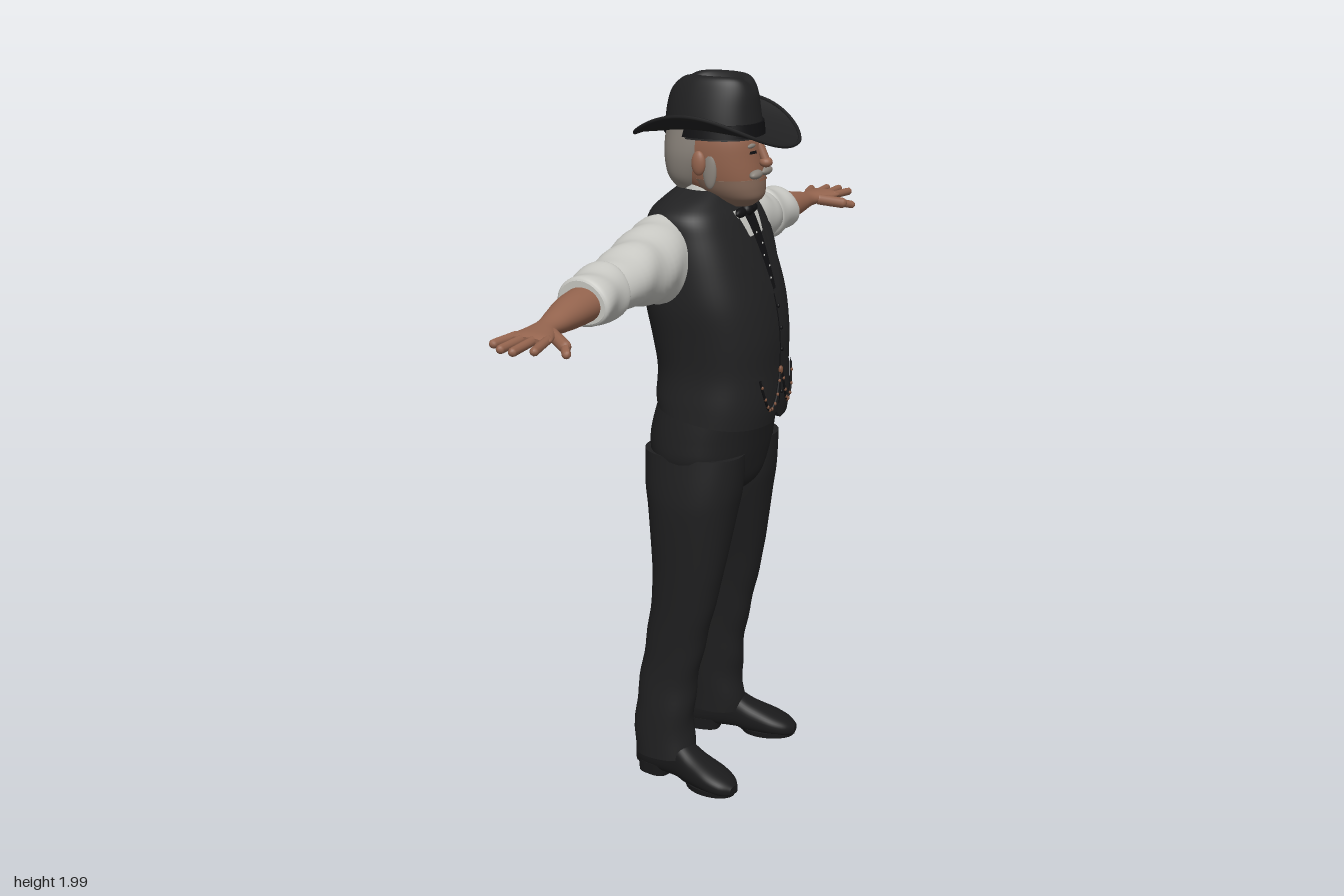
import * as THREE from 'three';

const colour = (name, color, side = THREE.FrontSide) => {
  const m = new THREE.MeshStandardMaterial({ color, side });
  m.name = name;
  return m;
};
const mats = {
  felt: colour('hat felt', 0x202021, THREE.DoubleSide),
  vest: colour('vest cloth', 0x212122),
  trouser: colour('trouser cloth', 0x1f1f20),
  leather: colour('boot leather', 0x1a1a1b),
  linen: colour('shirt linen', 0xc6c6c1),
  skin: colour('skin', 0x94644e),
  hair: colour('grey hair', 0x8a837b),
  stubble: colour('stubble', 0x846858),
  copper: colour('watch chain', 0x7a4e38),
  dark: colour('black silk', 0x101012),
};

// Smooths key rings [w, u0, u1, v0, v1] into a dense list
function dense(keys, steps = 5) {
  const out = [], at = i => keys[THREE.MathUtils.clamp(i, 0, keys.length - 1)];
  for (let i = 0; i < keys.length - 1; i++) for (let s = 0; s < steps; s++) {
    const t = s / steps;
    out.push(keys[i].map((b, k) => {
      const a = at(i - 1)[k], c = at(i + 1)[k], d = at(i + 2)[k];
      return b + 0.5 * t * (c - a + t * (2 * a - 5 * b + 4 * c - d + t * (3 * (b - c) + d - a)));
    }));
  }
  out.push(keys[keys.length - 1]);
  return out;
}

// Skins superellipse rings along an axis: y has spans (z, x), x has (y, z), z has (x, y)
function loft(axis, keys, { p = 2, seg = 40, bend } = {}) {
  const rings = dense(keys), first = rings[0], last = rings[rings.length - 1];
  const collapse = r => [r[0], (r[1] + r[2]) / 2, (r[1] + r[2]) / 2, (r[3] + r[4]) / 2, (r[3] + r[4]) / 2];
  const all = [collapse(first), first, ...rings, last, collapse(last)];
  const pos = [], idx = [], v = new THREE.Vector3();
  const pw = c => Math.sign(c) * Math.abs(c) ** (2 / p);
  all.forEach(([w, u0, u1, v0, v1], i) => {
    for (let j = 0; j < seg; j++) {
      const t = j / seg * Math.PI * 2;
      const a = (u0 + u1) / 2 + (u1 - u0) / 2 * pw(Math.cos(t));
      const b = (v0 + v1) / 2 + (v1 - v0) / 2 * pw(Math.sin(t));
      if (axis === 'y') v.set(b, w, a); else if (axis === 'x') v.set(w, a, b); else v.set(a, b, w);
      if (bend) bend(v);
      pos.push(v.x, v.y, v.z);
      if (i < all.length - 1) {
        const q = i * seg + j, n = i * seg + (j + 1) % seg;
        idx.push(q, n, q + seg, n, n + seg, q + seg);
      }
    }
  });
  return build(pos, idx);
}

function build(pos, idx) {
  const g = new THREE.BufferGeometry();
  g.setAttribute('position', new THREE.Float32BufferAttribute(pos, 3));
  g.setIndex(idx);
  g.computeVertexNormals();
  return g;
}

// Front surface depth of a y loft at (x, y)
function frontOf(keys, p) {
  const rings = dense(keys);
  return (x, y) => {
    let i = 0;
    while (i < rings.length - 2 && rings[i + 1][0] < y) i++;
    const a = rings[i], b = rings[i + 1], t = THREE.MathUtils.clamp((y - a[0]) / (b[0] - a[0]), 0, 1);
    const [, z0, z1, , hx] = a.map((n, k) => n + (b[k] - n) * t);
    return (z0 + z1) / 2 + (z1 - z0) / 2 * Math.max(0, 1 - Math.abs(x / hx) ** p) ** (1 / p);
  };
}

// Thin four-cornered panel laid on a front surface, corners counter-clockwise
function patch(front, [a, b, c, d], lift = 0.004, n = 8) {
  const pos = [], idx = [], mix = (s, e, t) => s + (e - s) * t;
  for (let i = 0; i <= n; i++) for (let j = 0; j <= n; j++) {
    const [x, y] = [0, 1].map(k => mix(mix(a[k], b[k], j / n), mix(d[k], c[k], j / n), i / n));
    pos.push(x, y, front(x, y) + lift);
    if (i < n && j < n) {
      const q = i * (n + 1) + j;
      idx.push(q, q + 1, q + n + 1, q + 1, q + n + 2, q + n + 1);
    }
  }
  return build(pos, idx);
}

function mirror(geo) {
  const g = geo.clone().scale(-1, 1, 1), a = g.index.array;
  for (let i = 0; i < a.length; i += 3) [a[i], a[i + 1]] = [a[i + 1], a[i]];
  g.computeVertexNormals();
  return g;
}

const ball = (x, y, z, rx, ry, rz) => new THREE.SphereGeometry(1, 20, 14).scale(rx, ry, rz).translate(x, y, z);

function limb(from, to, r) {
  const a = new THREE.Vector3(...from), b = new THREE.Vector3(...to), d = b.clone().sub(a);
  const q = new THREE.Quaternion().setFromUnitVectors(new THREE.Vector3(0, 1, 0), d.clone().normalize());
  return new THREE.CapsuleGeometry(r, d.length(), 5, 10).applyQuaternion(q).translate(...a.add(b).multiplyScalar(0.5).toArray());
}

export function createModel() {
  const root = new THREE.Group(), man = new THREE.Group();
  root.name = 'cowboy';
  man.name = 'figure';
  man.rotation.y = Math.PI / 2;
  root.add(man);
  const add = (name, geo, mat) => {
    const m = new THREE.Mesh(geo, mats[mat]);
    m.name = name;
    man.add(m);
  };
  const pair = (name, geo, mat) => { add(name + 'A', geo, mat); add(name + 'B', mirror(geo), mat); };
  const sym = rows => rows.map(([y, z0, z1, hx]) => [y, z0, z1, -hx, hx]);

  // Vest, with the hem dropping to two points in front
  const torso = sym([[1.085, -0.143, 0.18, 0.205], [1.13, -0.148, 0.188, 0.201], [1.21, -0.145, 0.187, 0.193],
    [1.3, -0.16, 0.187, 0.2], [1.4, -0.178, 0.172, 0.211], [1.5, -0.182, 0.142, 0.208], [1.58, -0.176, 0.112, 0.2],
    [1.635, -0.16, 0.085, 0.189], [1.668, -0.13, 0.06, 0.15], [1.695, -0.1, 0.045, 0.09]]);
  const chest = frontOf(torso, 2.4);
  add('vest', loft('y', torso, { p: 2.4, seg: 64, bend: v => {
    const k = THREE.MathUtils.clamp((1.15 - v.y) / 0.065, 0, 1);
    v.y -= k * (v.z - 0.02) * 0.16;
    if (v.z > 0.1 && Math.abs(v.x) < 0.02) v.y += k * 0.025;
  } }), 'vest');
  pair('lapel', patch(chest, [[0.008, 1.42], [0.025, 1.42], [0.125, 1.57], [0.06, 1.63]], 0.009), 'vest');
  pair('upperLapel', patch(chest, [[0.06, 1.59], [0.12, 1.585], [0.1, 1.655], [0.07, 1.655]], 0.007), 'vest');
  pair('vestPocket', patch(chest, [[0.085, 1.195], [0.15, 1.205], [0.15, 1.22], [0.085, 1.21]], 0.006), 'vest');
  add('placket', patch(chest, [[-0.003, 1.11], [0.003, 1.11], [0.003, 1.43], [-0.003, 1.43]], 0.003), 'dark');
  for (let i = 0; i < 5; i++) {
    const y = 1.14 + i * 0.06;
    add('vestButton', ball(0.012, y, chest(0.012, y) + 0.003, 0.006, 0.006, 0.004), 'dark');
  }
  // Shirt front, tie and collar
  pair('shirtFront', patch(chest, [[0.012, 1.575], [0.04, 1.575], [0.068, 1.645], [0.012, 1.645]], 0.005), 'linen');
  add('tie', patch(chest, [[-0.008, 1.43], [0.008, 1.43], [0.028, 1.63], [-0.028, 1.63]], 0.008), 'dark');
  add('tieKnot', ball(0, 1.637, 0.09, 0.02, 0.018, 0.016), 'dark');
  pair('tieBow', ball(0.035, 1.635, 0.087, 0.028, 0.014, 0.012), 'dark');
  for (let i = 0; i < 5; i++) {
    const y = 1.46 + i * 0.03, x = i % 2 ? 0.006 : -0.006;
    add('tieSpot', ball(x, y, chest(x, y) + 0.009, 0.003, 0.003, 0.002), 'linen');
  }
  add('collar', loft('y', sym([[1.65, -0.105, 0.075, 0.088], [1.68, -0.1, 0.072, 0.084], [1.702, -0.093, 0.066, 0.078]]),
    { bend: v => { v.y -= v.z * 0.17; } }), 'linen');
  // Watch chain hanging in two swags
  const swag = [];
  for (let i = 0; i <= 16; i++) {
    const x = 0.008 + i / 16 * 0.094, y = 1.105 + 0.095 * ((x - 0.055) / 0.047) ** 2;
    swag.push(new THREE.Vector3(x, y, chest(x, y) + 0.006));
  }
  pair('watchChain', new THREE.TubeGeometry(new THREE.CatmullRomCurve3(swag), 40, 0.0035, 6), 'dark');
  swag.forEach((v, i) => { if (i % 2) pair('chainLink', ball(v.x, v.y, v.z + 0.002, 0.004, 0.005, 0.004), 'copper'); });
  add('chainFob', ball(0, 1.205, chest(0, 1.205) + 0.006, 0.008, 0.012, 0.006), 'copper');

  // Trousers
  add('hips', loft('y', sym([[0.84, -0.09, 0.07, 0.05], [0.88, -0.14, 0.115, 0.13], [0.95, -0.158, 0.132, 0.205],
    [1.03, -0.163, 0.145, 0.207], [1.14, -0.135, 0.165, 0.188]]), { p: 2.3 }), 'trouser');
  pair('trouserLeg', loft('y', [[0.075, -0.17, 0.005, 0.1, 0.236], [0.2, -0.17, 0, 0.097, 0.227],
    [0.32, -0.157, 0.012, 0.093, 0.213], [0.45, -0.137, 0.04, 0.086, 0.211], [0.6, -0.122, 0.074, 0.066, 0.216],
    [0.8, -0.138, 0.108, 0.013, 0.225], [0.88, -0.15, 0.122, 0.002, 0.222], [0.98, -0.155, 0.13, 0.01, 0.208]],
  { p: 2.3, bend: v => { v.z += 0.004 * Math.sin(v.y * 45 + v.x * 20) * Math.max(0, 1 - v.y * 1.4); } }), 'trouser');

  // Boots, toes turned outward
  const place = g => g.rotateY(0.2).translate(0.182, 0, 0);
  pair('boot', place(loft('z', [[-0.168, -0.032, 0.032, 0.01, 0.09], [-0.13, -0.044, 0.044, 0.005, 0.12],
    [-0.04, -0.044, 0.044, 0.005, 0.13], [0.03, -0.05, 0.05, 0, 0.094], [0.09, -0.054, 0.054, 0, 0.07],
    [0.135, -0.042, 0.042, 0, 0.05], [0.16, -0.018, 0.018, 0.004, 0.032]],
  { p: 2.4, bend: v => { v.y = Math.max(v.y, v.z < 0 ? 0.022 : 0.008); } })), 'leather');
  pair('bootHeel', place(loft('y', [[0, -0.165, -0.07, -0.04, 0.04], [0.035, -0.168, -0.06, -0.042, 0.042]], { p: 3 })), 'leather');
  pair('bootSole', place(loft('y', [[0, 0, 0.155, -0.05, 0.05], [0.016, -0.01, 0.162, -0.052, 0.052]])), 'leather');

  // Sleeves with soft folds and rolled cuffs
  const fold = v => { v.y += 0.004 * Math.sin(v.x * 60 + v.z * 25); v.z += 0.003 * Math.sin(v.x * 45 + v.y * 30); };
  pair('sleeve', loft('x', [[0.15, 1.42, 1.635, -0.165, 0.02], [0.2, 1.412, 1.642, -0.176, 0.018],
    [0.3, 1.43, 1.62, -0.166, 0.012], [0.4, 1.447, 1.598, -0.16, 0.004], [0.5, 1.45, 1.565, -0.153, -0.02]], { bend: fold }), 'linen');
  pair('cuff', loft('x', [[0.465, 1.445, 1.575, -0.155, -0.015], [0.48, 1.432, 1.583, -0.166, -0.01],
    [0.53, 1.435, 1.576, -0.165, -0.014], [0.58, 1.437, 1.568, -0.163, -0.013], [0.592, 1.447, 1.558, -0.152, -0.022]],
  { bend: fold }), 'linen');
  // Forearms and hands, palms down
  pair('forearm', loft('x', [[0.56, 1.455, 1.548, -0.14, -0.032], [0.65, 1.456, 1.54, -0.135, -0.036],
    [0.72, 1.462, 1.527, -0.12, -0.042], [0.78, 1.469, 1.514, -0.108, -0.046], [0.83, 1.474, 1.51, -0.113, -0.025],
    [0.875, 1.478, 1.507, -0.12, -0.008], [0.895, 1.483, 1.5, -0.112, -0.016]]), 'skin');
  [[-0.109, 0.94, -0.128], [-0.081, 0.972, -0.09], [-0.052, 0.979, -0.053], [-0.023, 0.953, -0.01]].forEach(([z, tip, tz]) => {
    pair('finger', limb([0.87, 1.492, z], [tip, 1.488, tz], 0.0115), 'skin');
  });
  pair('thumb', limb([0.81, 1.488, -0.045], [0.85, 1.475, 0.012], 0.016), 'skin');
  pair('thumbTip', limb([0.85, 1.475, 0.012], [0.878, 1.466, 0.032], 0.0115), 'skin');

  // Head and face
  const skull = sym([[1.655, 0.02, 0.105, 0.035], [1.675, -0.03, 0.128, 0.062], [1.72, -0.1, 0.133, 0.088],
    [1.78, -0.118, 0.13, 0.1], [1.84, -0.12, 0.125, 0.1], [1.9, -0.1, 0.1, 0.08]]);
  const face = frontOf(skull, 2.2);
  add('neck', loft('y', sym([[1.6, -0.08, 0.05, 0.068], [1.74, -0.085, 0.055, 0.07]])), 'skin');
  add('head', loft('y', skull, { p: 2.2 }), 'skin');
  add('jawStubble', loft('y', sym([[1.652, 0.02, 0.106, 0.036], [1.674, -0.025, 0.132, 0.065],
    [1.7, -0.06, 0.136, 0.083], [1.728, -0.09, 0.134, 0.093]]), { p: 2.2 }), 'stubble');
  add('hair', loft('y', sym([[1.695, -0.105, -0.02, 0.07], [1.73, -0.127, 0, 0.095], [1.79, -0.135, 0.025, 0.109],
    [1.86, -0.13, 0.035, 0.106]]), { p: 2.3 }), 'hair');
  pair('sideburn', ball(0.094, 1.755, 0.025, 0.01, 0.05, 0.02), 'hair');
  pair('ear', ball(0.11, 1.775, 0.0, 0.013, 0.033, 0.02), 'skin');
  add('noseBridge', limb([0, 1.815, 0.125], [0, 1.778, 0.142], 0.012), 'skin');
  add('noseTip', ball(0, 1.771, 0.144, 0.018, 0.014, 0.018), 'skin');
  pair('moustache', ball(0.024, 1.742, 0.13, 0.03, 0.012, 0.014).rotateZ(-0.004), 'hair');
  add('mouth', patch(face, [[-0.025, 1.722], [0.025, 1.722], [0.02, 1.728], [-0.02, 1.728]], 0.006), 'skin');
  pair('eye', patch(face, [[0.024, 1.797], [0.05, 1.797], [0.047, 1.805], [0.027, 1.805]], 0.002), 'dark');
  pair('eyebrow', ball(0.04, 1.819, face(0.04, 1.819), 0.022, 0.006, 0.006), 'hair');

  // Hat: curled brim, creased crown and band
  const curl = (x, z) => 1.846 - 0.022 * (z / 0.225) ** 2 + 0.062 * Math.abs(x / 0.185) ** 2.6;
  const brim = new THREE.RingGeometry(0.4, 1, 72, 10).rotateX(-Math.PI / 2), bp = brim.attributes.position;
  for (let i = 0; i < bp.count; i++) {
    const x = bp.getX(i) * 0.186, z = bp.getZ(i) * 0.226;
    bp.setXYZ(i, x, curl(x, z), z);
  }
  brim.computeVertexNormals();
  add('hatBrim', brim, 'felt');
  const rim = [];
  for (let i = 0; i < 48; i++) {
    const t = i / 48 * Math.PI * 2, x = 0.186 * Math.cos(t), z = 0.226 * Math.sin(t);
    rim.push(new THREE.Vector3(x, curl(x, z), z));
  }
  add('brimEdge', new THREE.TubeGeometry(new THREE.CatmullRomCurve3(rim, true), 96, 0.005, 6, true), 'felt');
  add('hatCrown', loft('y', sym([[1.835, -0.14, 0.128, 0.11], [1.9, -0.137, 0.12, 0.098], [1.955, -0.122, 0.113, 0.082],
    [1.988, -0.092, 0.098, 0.066], [1.994, -0.065, 0.075, 0.046], [1.972, -0.045, 0.055, 0.018]]),
  { p: 2.2, seg: 56, bend: v => { if (v.y > 1.94) v.y -= 0.016 * Math.exp(-((v.x / 0.025) ** 2)) * Math.min(1, (v.y - 1.94) / 0.04); } }), 'felt');
  add('hatBand', loft('y', sym([[1.84, -0.143, 0.131, 0.112], [1.875, -0.143, 0.128, 0.107]]), { p: 2.2, seg: 56 }), 'dark');
  return root;
}
